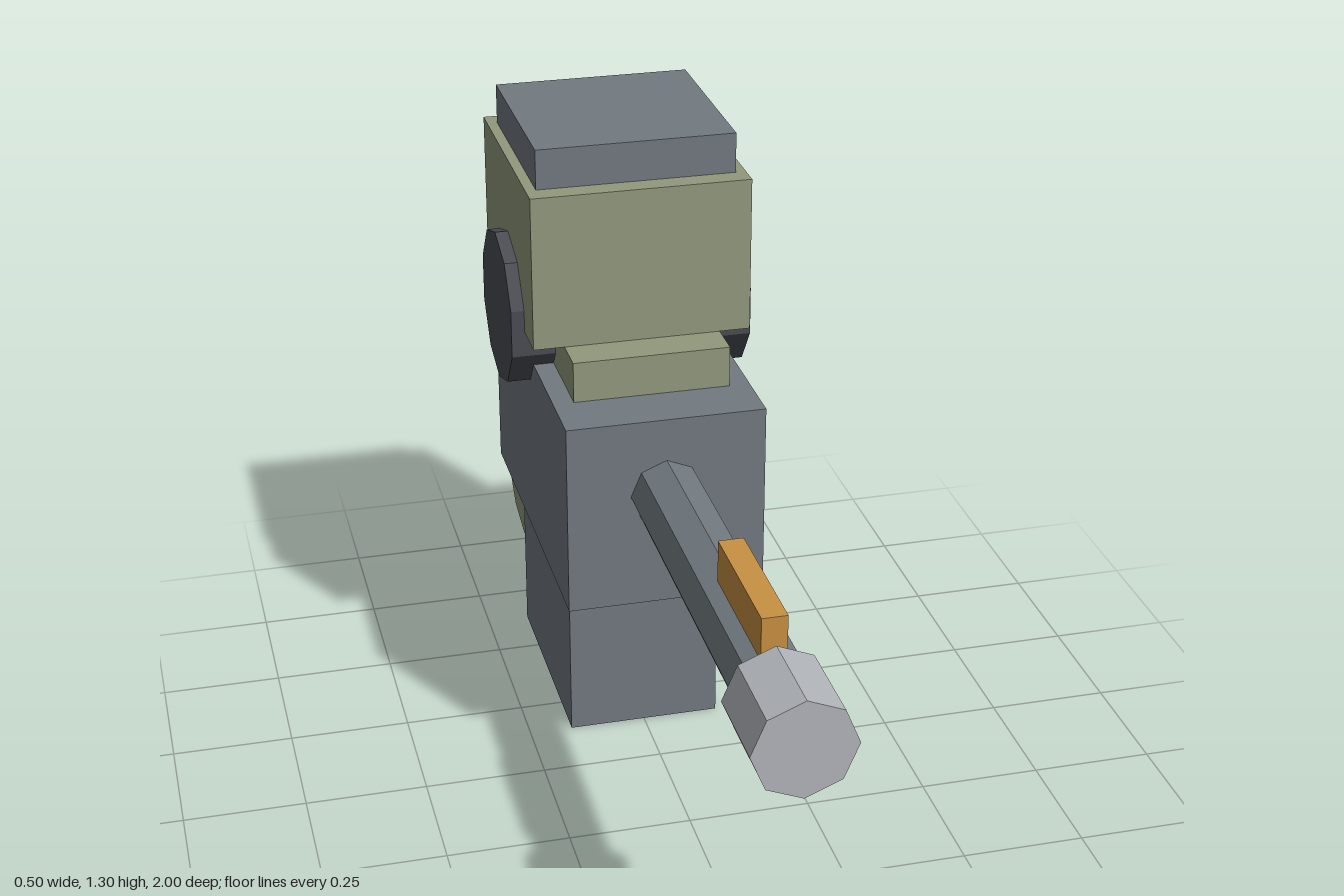
import * as THREE from 'three';

const material = (name, color) => {
  const m = new THREE.MeshStandardMaterial({ color, flatShading: true });
  m.name = name;
  return m;
};

export function createModel() {
  const steel = material('steel grey', 0x727a80);
  const olive = material('olive', 0x92997d);
  const dark = material('charcoal', 0x4b4d53);
  const light = material('light grey', 0xb2b5ba);
  const orange = material('orange', 0xc89143);

  const model = new THREE.Group();
  model.name = 'turret';

  const add = (name, geometry, mat) => {
    const mesh = new THREE.Mesh(geometry, mat);
    mesh.name = name;
    model.add(mesh);
  };

  // Box centred on x, given by its half width and its y and z ranges
  const box = (name, halfW, y0, y1, z0, z1, mat) => {
    const g = new THREE.BoxGeometry(halfW * 2, y1 - y0, z1 - z0);
    g.translate(0, (y0 + y1) / 2, (z0 + z1) / 2);
    add(name, g, mat);
  };

  // Prism along x with a corner pointing straight up
  const prismX = (name, r, halfW, sides, y, z, mat) => {
    const g = new THREE.CylinderGeometry(r, r, halfW * 2, sides);
    g.rotateY(Math.PI / 2).rotateZ(Math.PI / 2).translate(0, y, z);
    add(name, g, mat);
  };

  // Prism along z
  const prismZ = (name, r, z0, z1, sides, y, mat) => {
    const g = new THREE.CylinderGeometry(r, r, z1 - z0, sides);
    g.rotateX(Math.PI / 2).translate(0, y, (z0 + z1) / 2);
    add(name, g, mat);
  };

  // Stacked housing
  box('pedestal', 0.16, 0, 0.41, -0.63, -0.145, steel);
  box('body', 0.202, 0.41, 0.815, -0.672, 0.055, steel);
  box('neck', 0.16, 0.815, 0.9, -0.553, -0.065, olive);
  box('head', 0.223, 0.9, 1.22, -0.632, -0.145, olive);
  box('cap', 0.202, 1.22, 1.302, -0.592, -0.19, steel);

  // Pivot through the head and drum at the rear
  prismX('pivot', 0.162, 0.25, 10, 0.897, -0.389, dark);
  prismX('rearDrum', 0.201, 0.13, 12, 0.329, -0.799, olive);

  // Barrel with muzzle and sight
  prismZ('barrel', 0.073, 0, 0.83, 8, 0.653, steel);
  prismZ('muzzle', 0.097, 0.82, 1, 8, 0.653, light);
  box('sight', 0.024, 0.717, 0.8, 0.525, 0.808, orange);

  return model;
}
